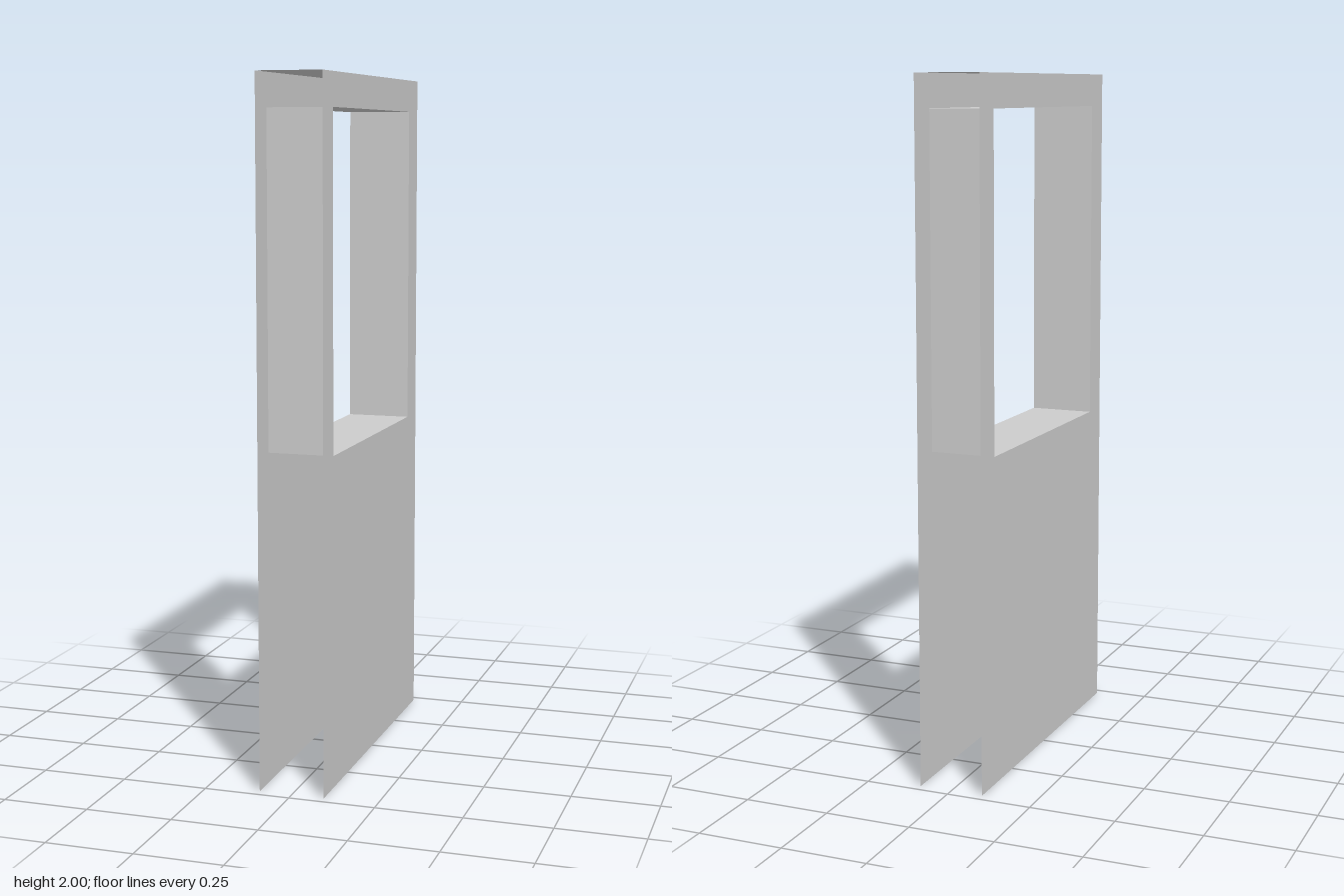
import * as THREE from 'three';

const HALF_X = 0.095, HALF_Z = 0.475, HEIGHT = 2;
const WIN = { z0: -0.38, z1: 0.385, y0: 0.955, y1: 1.905 };

const material = new THREE.MeshStandardMaterial({ color: 0xcccccc, flatShading: true, side: THREE.DoubleSide });

function rectangle(Path, z0, y0, z1, y1) {
  const p = new Path();
  p.moveTo(z0, y0);
  p.lineTo(z1, y0);
  p.lineTo(z1, y1);
  p.lineTo(z0, y1);
  p.closePath();
  return p;
}

export function createModel() {
  const group = new THREE.Group();
  group.name = 'windowWall';

  const add = (name, geometry) => {
    const mesh = new THREE.Mesh(geometry, material);
    mesh.name = name;
    group.add(mesh);
    return mesh;
  };

  // Two thin wall skins with a window opening, facing outward
  for (const side of [1, -1]) {
    // shape x runs along -z on the left skin and +z on the right skin
    const a = -side * WIN.z0, b = -side * WIN.z1;
    const shape = rectangle(THREE.Shape, -HALF_Z, 0, HALF_Z, HEIGHT);
    shape.holes.push(rectangle(THREE.Path, Math.min(a, b), WIN.y0, Math.max(a, b), WIN.y1));
    const skin = add(side > 0 ? 'leftSkin' : 'rightSkin', new THREE.ShapeGeometry(shape));
    skin.rotation.y = side * Math.PI / 2;
    skin.position.x = side * HALF_X;
  }

  // Horizontal sheets: top cap, window sill and window head
  const horizontal = (name, y, z0, z1, facing) => {
    const sheet = add(name, new THREE.PlaneGeometry(2 * HALF_X, z1 - z0));
    sheet.rotation.x = -facing * Math.PI / 2;
    sheet.position.set(0, y, (z0 + z1) / 2);
  };
  horizontal('topCap', HEIGHT, -HALF_Z, HALF_Z, 1);
  horizontal('windowSill', WIN.y0, WIN.z0, WIN.z1, 1);
  horizontal('windowHead', WIN.y1, WIN.z0, WIN.z1, -1);

  // Window jambs, facing into the opening
  for (const [name, z, turn] of [['frontJamb', WIN.z1, Math.PI], ['backJamb', WIN.z0, 0]]) {
    const jamb = add(name, new THREE.PlaneGeometry(2 * HALF_X, WIN.y1 - WIN.y0));
    jamb.rotation.y = turn;
    jamb.position.set(0, (WIN.y0 + WIN.y1) / 2, z);
  }

  return group;
}
